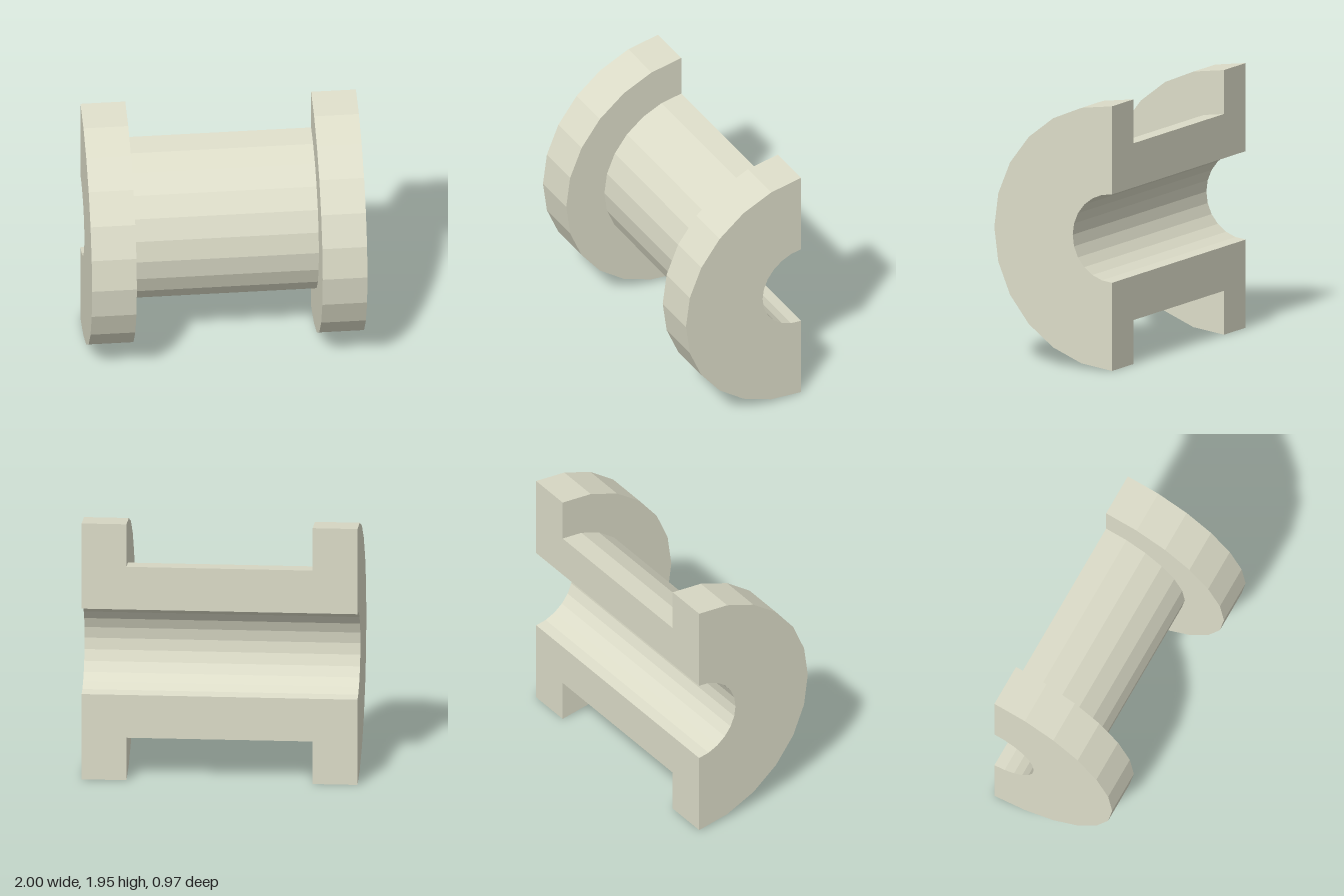
import * as THREE from 'three';

const FLANGE_R = 0.973, BARREL_R = 0.65, BORE_R = 0.325;
const HALF_LENGTH = 1, BARREL_HALF = 0.675;

export function createModel() {
  const material = new THREE.MeshStandardMaterial({ color: 0xdcdcc8, flatShading: true });

  // Wall section (radius, distance along the axis): flange, barrel, flange, bore
  const section = [
    [BORE_R, -HALF_LENGTH], [FLANGE_R, -HALF_LENGTH], [FLANGE_R, -BARREL_HALF],
    [BARREL_R, -BARREL_HALF], [BARREL_R, BARREL_HALF], [FLANGE_R, BARREL_HALF],
    [FLANGE_R, HALF_LENGTH], [BORE_R, HALF_LENGTH],
  ].map(([r, a]) => new THREE.Vector2(r, a));

  const bushing = new THREE.Group();
  bushing.name = 'halfBushing';
  const add = (name, geometry) => {
    const mesh = new THREE.Mesh(geometry, material);
    mesh.name = name;
    bushing.add(mesh);
  };

  // Flanged half shell with its bore, swept through half a turn
  add('flangedShell', new THREE.LatheGeometry([...section, section[0].clone()], 12, -Math.PI / 2, Math.PI));

  // Flat split faces closing the two cut ends of the sweep, facing back
  const shape = new THREE.Shape(section);
  add('upperSplitFace', new THREE.ShapeGeometry(shape).rotateX(Math.PI));
  add('lowerSplitFace', new THREE.ShapeGeometry(shape).rotateY(Math.PI));

  // Lay the axis along x and rest the flanges on the ground
  bushing.rotation.z = Math.PI / 2;
  bushing.position.set(0, FLANGE_R, -FLANGE_R / 2);

  const model = new THREE.Group();
  model.name = 'flangedHalfBushing';
  model.add(bushing);
  return model;
}
